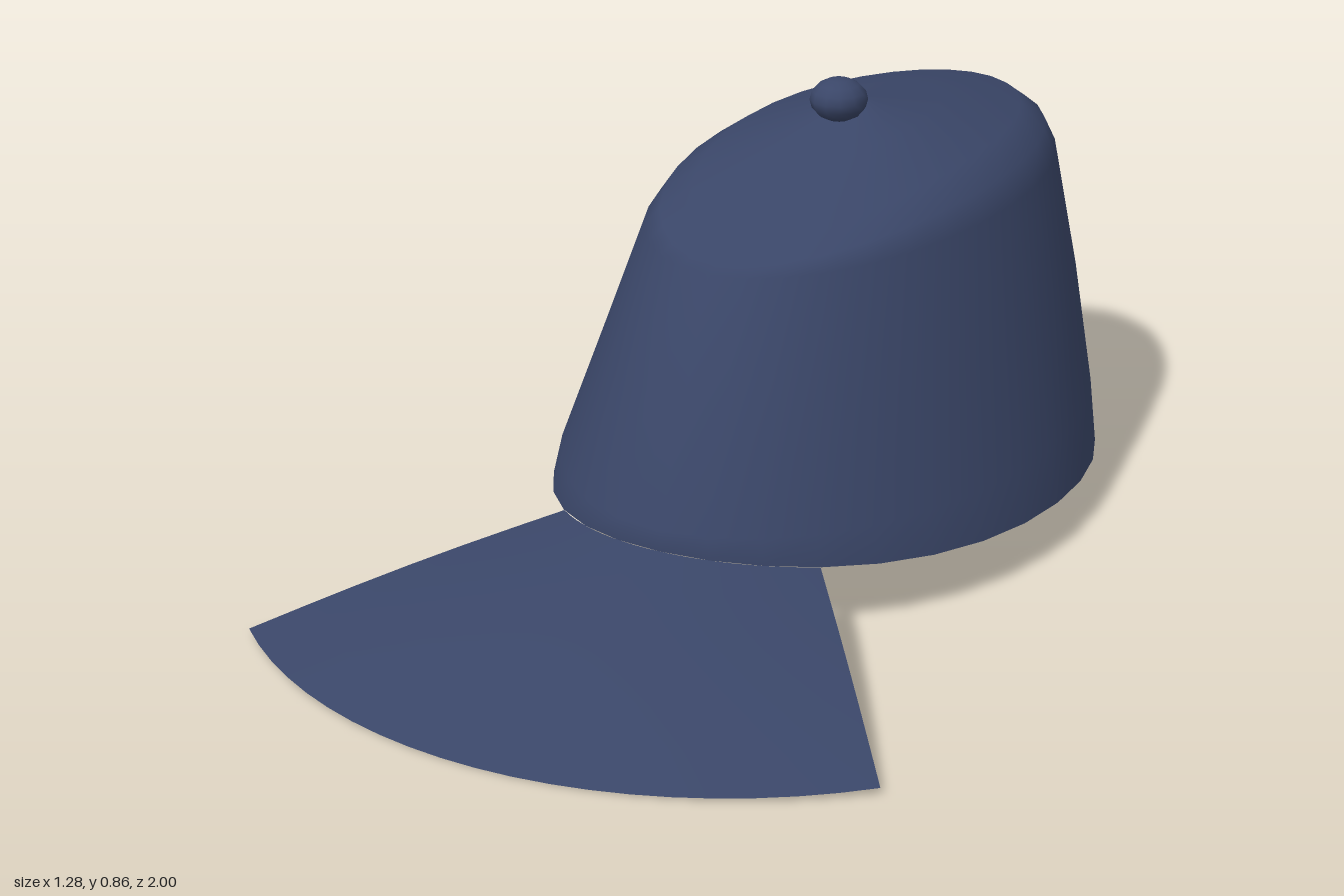
import * as THREE from 'three';

// Indexed grid of smooth quads; point(i, j) gives each corner, wrap joins the last column to the first
function grid(cols, rows, wrap, point) {
  const pos = [], idx = [];
  const n = wrap ? cols : cols + 1;
  for (let j = 0; j <= rows; j++)
    for (let i = 0; i < n; i++) pos.push(...point(i, j));
  for (let j = 0; j < rows; j++)
    for (let i = 0; i < cols; i++) {
      const k = (i + 1) % n;
      const a = j * n + i, b = j * n + k, c = (j + 1) * n + k, d = (j + 1) * n + i;
      idx.push(a, b, c, a, c, d);
    }
  const g = new THREE.BufferGeometry();
  g.setAttribute('position', new THREE.Float32BufferAttribute(pos, 3));
  g.setIndex(idx);
  g.computeVertexNormals();
  return g;
}

// Crown rings, bottom to top: half width, front z, front y, side y, back z, back y
const RINGS = [
  [0.49, 0.37, 0.155, 0.0975, -0.965, 0.04],
  [0.467, 0.37, 0.197, 0.2, -0.98, 0.2],
  [0.4, 0.278, 0.415, 0.42, -1.0, 0.43],
  [0.332, 0.185, 0.628, 0.64, -0.99, 0.64],
  [0.305, 0.15, 0.64, 0.688, -0.97, 0.685],
  [0.25, 0.08, 0.66, 0.725, -0.92, 0.72],
  [0.12, -0.2, 0.733, 0.766, -0.67, 0.763],
  [0.008, -0.405, 0.803, 0.803, -0.421, 0.803],
];

// Point on a tilted elliptical ring; angle 0 is the front
function ringPoint(ring, angle) {
  const [w, fz, fy, sy, bz, by] = ring;
  const t = Math.cos(angle);
  const tilt = (fy - by) / 2, bow = (fy + by) / 2 - sy;
  return [
    w * Math.sin(angle),
    sy + tilt * (0.5 * t + 0.5 * t ** 3) + bow * t * t,
    (fz + bz) / 2 + ((fz - bz) / 2) * t,
  ];
}

export function createModel() {
  const group = new THREE.Group();
  group.name = 'cap';
  const cloth = new THREE.MeshStandardMaterial({ color: 0x3a4668, side: THREE.DoubleSide });
  cloth.name = 'navy cloth';
  const add = (name, geometry) => {
    const mesh = new THREE.Mesh(geometry, cloth);
    mesh.name = name;
    group.add(mesh);
    return mesh;
  };

  // Open crown, lofted through the rings
  const sides = 32;
  add('crown', grid(sides, RINGS.length - 1, true,
    (i, j) => ringPoint(RINGS[j], (i / sides) * Math.PI * 2)));

  // Fan-shaped brim running from the crown's lower front edge down to a wide arc
  const cols = 20, rows = 6;
  add('brim', grid(rows, cols, false, (i, j) => {
    const u = (j / cols) * 2 - 1, v = i / rows;
    const inner = ringPoint(RINGS[0], Math.asin((0.27 * u) / 0.49));
    const a = 0.633 * u, r = 1.113 - 0.031 * u * u;
    const outer = [r * Math.sin(a), 0.005 + 0.012 * u * u, -0.118 + r * Math.cos(a)];
    const p = inner.map((s, k) => s + (outer[k] - s) * v);
    p[1] += (0.013 - 0.006 * u * u) * Math.sin(Math.PI * v);
    return p;
  }));

  // Button on top
  const button = add('button', new THREE.SphereGeometry(0.056, 12, 8));
  button.scale.y = 0.75;
  button.position.set(0, 0.822, -0.325);

  return group;
}
